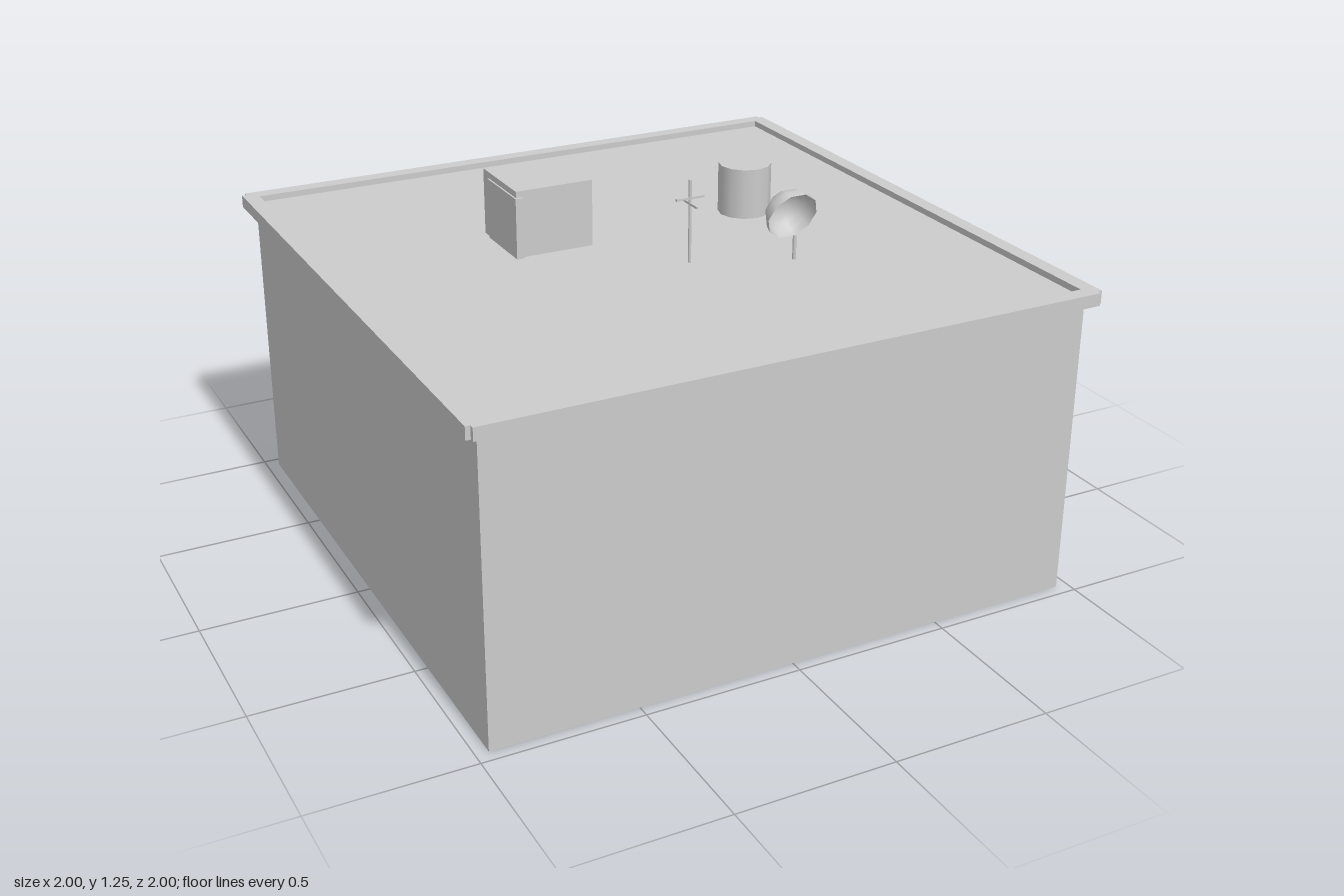
import * as THREE from 'three';

const material = new THREE.MeshStandardMaterial({ color: 0xcccccc });
const thin = new THREE.MeshStandardMaterial({ color: 0xcccccc, side: THREE.DoubleSide });

export function createModel() {
  const model = new THREE.Group();

  const add = (parent, name, geometry, x, y, z, mat = material) => {
    const mesh = new THREE.Mesh(geometry, mat);
    mesh.name = name;
    mesh.position.set(x, y, z);
    parent.add(mesh);
    return mesh;
  };
  const group = (name) => {
    const g = new THREE.Group();
    g.name = name;
    model.add(g);
    return g;
  };
  const box = (w, h, d) => new THREE.BoxGeometry(w, h, d);

  // Building block; its top is the sunken roof deck
  const deck = 0.98;
  add(model, 'building', box(1.92, deck, 1.92), 0, deck / 2, 0);

  // Parapet ring with small notches at the corners
  const a = 1, b = 0.985, c = 0.95;
  const outline = [
    [a, -b], [a, b], [b, b], [b, a], [-b, a], [-b, b],
    [-a, b], [-a, -b], [-b, -b], [-b, -a], [b, -a], [b, -b],
  ];
  const points = (list) => list.map(([x, y]) => new THREE.Vector2(x, y));
  const ring = new THREE.Shape(points(outline));
  ring.holes.push(new THREE.Path(points([[c, c], [c, -c], [-c, -c], [-c, c]])));
  const parapet = new THREE.ExtrudeGeometry(ring, { depth: 0.04, bevelEnabled: false });
  parapet.rotateX(-Math.PI / 2);
  add(model, 'parapet', parapet, 0, 0.96, 0);

  // Stair hut with a door panel on its side
  const hut = group('stairHut');
  add(hut, 'hutBody', box(0.256, 0.225, 0.256), -0.267, 1.0825, -0.208);
  add(hut, 'hutDoor', box(0.025, 0.2, 0.22), -0.388, 1.075, -0.18);

  // Water tank
  add(model, 'waterTank', new THREE.CylinderGeometry(0.086, 0.086, 0.17, 12), 0.445, 1.06, -0.15);

  // Antenna mast with two crossed bars
  const antenna = group('antenna');
  add(antenna, 'mast', new THREE.CylinderGeometry(0.005, 0.005, 0.27, 8), 0.06, 1.11, 0.19);
  add(antenna, 'upperBar', box(0.095, 0.007, 0.007), 0.06, 1.187, 0.19);
  add(antenna, 'lowerBar', box(0.007, 0.007, 0.095), 0.06, 1.17, 0.19);

  // Satellite dish: open half sphere tipped forwards, on a short post
  const dish = group('satelliteDish');
  const bowl = new THREE.SphereGeometry(0.085, 10, 5, 0, Math.PI * 2, 0, Math.PI / 2);
  add(dish, 'dishBowl', bowl, 0.36, 1.113, 0.294, thin).rotation.x = -1.2;
  add(dish, 'dishPost', new THREE.CylinderGeometry(0.006, 0.006, 0.08, 8), 0.36, 1.018, 0.31);

  return model;
}
